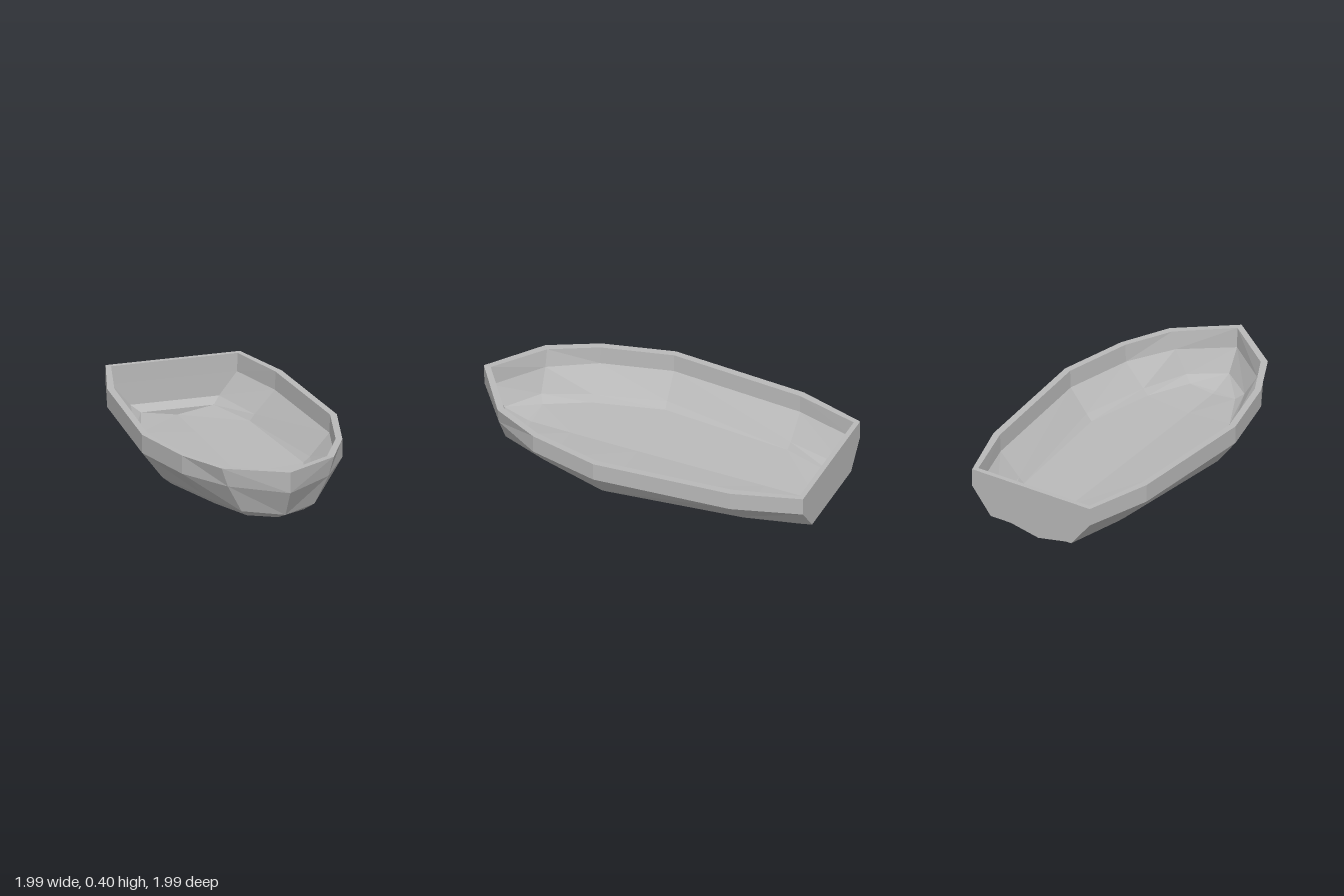
import * as THREE from 'three';

// Half of the boat along its length, stern to bow. Each level holds
// [forward, half width, height] for the six stations.
const level = (along, widths, y, bowY = y) =>
  along.map((u, i) => [widths[i], i === 5 ? bowY : y, u]);

const keel = (along, y0, y1) =>
  along.map((u, i) => [0, y0 + (y1 - y0) * i / 5, u]);

// Levels run from the keel up the outside, over the rim and down the inside
const LEVELS = [
  keel([-0.91, -0.56, 0.30, 0.73, 1.00, 1.05], 0, 0.035),
  level([-0.91, -0.56, 0.30, 0.73, 1.00, 1.05], [0.25, 0.335, 0.43, 0.295, 0.18, 0], 0.05, 0.035),
  level([-0.99, -0.566, 0.304, 0.746, 1.05, 1.195], [0.29, 0.39, 0.488, 0.35, 0.23, 0], 0.097),
  level([-0.99, -0.566, 0.304, 0.746, 1.054, 1.29], [0.424, 0.552, 0.615, 0.506, 0.318, 0], 0.265),
  level([-0.99, -0.566, 0.304, 0.746, 1.047, 1.294], [0.424, 0.552, 0.615, 0.506, 0.354, 0], 0.38, 0.398),
  level([-0.958, -0.559, 0.298, 0.735, 1.02, 1.249], [0.40, 0.509, 0.574, 0.467, 0.32, 0], 0.38, 0.398),
  level([-0.956, -0.559, 0.298, 0.735, 1.02, 1.245], [0.395, 0.505, 0.57, 0.462, 0.295, 0], 0.265),
  level([-0.951, -0.555, 0.29, 0.725, 1.01, 1.16], [0.28, 0.375, 0.45, 0.33, 0.21, 0], 0.125),
  level([-0.90, -0.548, 0.283, 0.72, 0.98, 1.01], [0.23, 0.343, 0.41, 0.297, 0.163, 0], 0.088, 0.075),
  keel([-0.90, -0.548, 0.283, 0.72, 0.98, 1.01], 0.05, 0.075),
];

// One loop around the boat: bow to stern on one side, mirrored back to the bow
function loop(points) {
  const side = points.map(p => new THREE.Vector3(...p));
  const mirrored = side.map(p => new THREE.Vector3(-p.x, p.y, p.z));
  return [...side.reverse(), ...mirrored];
}

// Faces between consecutive loops, leaving out collapsed triangles
function strakes(name, levels, material) {
  const loops = levels.map(loop);
  const positions = [];
  const area = new THREE.Triangle();
  const tri = (a, b, c) => {
    if (area.set(a, b, c).getArea() > 1e-7) {
      for (const p of [a, b, c]) positions.push(p.x, p.y, p.z);
    }
  };
  for (let j = 0; j < loops.length - 1; j++) {
    const low = loops[j], high = loops[j + 1];
    for (let i = 0; i < low.length - 1; i++) {
      // mirror the diagonal on the far side so both halves match
      if (i < 6) {
        tri(low[i], low[i + 1], high[i + 1]);
        tri(low[i], high[i + 1], high[i]);
      } else {
        tri(low[i], low[i + 1], high[i]);
        tri(low[i + 1], high[i + 1], high[i]);
      }
    }
  }
  const geometry = new THREE.BufferGeometry();
  geometry.setAttribute('position', new THREE.Float32BufferAttribute(positions, 3));
  geometry.computeVertexNormals();
  const mesh = new THREE.Mesh(geometry, material);
  mesh.name = name;
  return mesh;
}

export function createModel() {
  const grey = new THREE.MeshStandardMaterial({ color: 0xb8b8b8, flatShading: true });
  grey.name = 'hullGrey';

  const boat = new THREE.Group();
  boat.name = 'boat';
  boat.add(
    strakes('outerHull', LEVELS.slice(0, 5), grey),
    strakes('rim', LEVELS.slice(4, 6), grey),
    strakes('interior', LEVELS.slice(5), grey),
  );

  // The boat lies diagonally, bow towards the front left corner
  boat.rotation.y = Math.PI / 4;
  // centre the turned outline
  boat.position.set(0.005, 0, 0.005);

  const model = new THREE.Group();
  model.name = 'rowingBoat';
  model.add(boat);
  return model;
}
